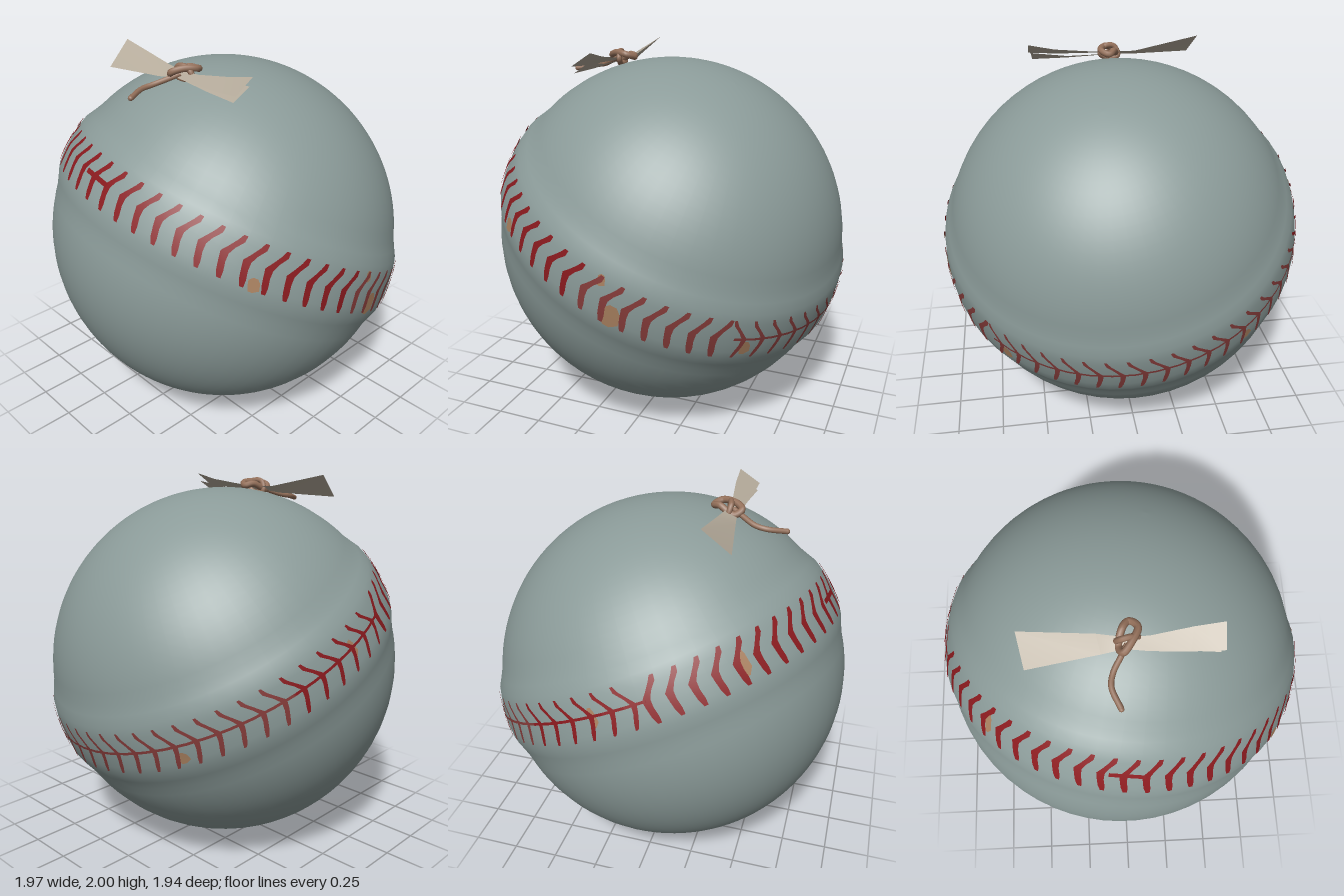
import * as THREE from 'three';
import { mergeGeometries } from 'three/addons/utils/BufferGeometryUtils.js';

const R = 0.965;          // ball radius
const SEAM = 0.14;        // latitude of the seam about the tilted axis
const smooth = THREE.MathUtils.smoothstep;

// Radius at a latitude: a sphere with a low raised ridge under the seam
const radiusAt = lat => R + 0.024 * (1 - smooth(Math.abs(lat - SEAM), 0.12, 0.25));

// Point on the ball at angle t round the seam and offset s across it
function seamPoint(t, s, lift) {
  const lat = SEAM + s, r = radiusAt(lat) + lift;
  return [r * Math.cos(lat) * Math.sin(t), r * Math.sin(lat), r * Math.cos(lat) * Math.cos(t)];
}

// Thin strip following [t, s, halfWidth] points from top to bottom
function stroke(path, lift) {
  const pos = [], idx = [];
  path.forEach(([t, s, w], i) => {
    pos.push(...seamPoint(t - w, s, lift), ...seamPoint(t + w, s, lift));
    if (i) {
      const a = 2 * i - 2;
      idx.push(a, a + 2, a + 3, a, a + 3, a + 1);
    }
  });
  const g = new THREE.BufferGeometry();
  g.setAttribute('position', new THREE.Float32BufferAttribute(pos, 3));
  g.setIndex(idx);
  g.computeVertexNormals();
  return g;
}

// Flat blade from two edge lines of matching points
function blade(edgeA, edgeB) {
  const pos = [], idx = [];
  edgeA.forEach((p, i) => {
    pos.push(...p, ...edgeB[i]);
    if (i) {
      const a = 2 * i - 2;
      idx.push(a, a + 1, a + 3, a, a + 3, a + 2);
    }
  });
  const g = new THREE.BufferGeometry();
  g.setAttribute('position', new THREE.Float32BufferAttribute(pos, 3));
  g.setIndex(idx);
  g.computeVertexNormals();
  return g;
}

function material(name, color, side = THREE.FrontSide) {
  const m = new THREE.MeshStandardMaterial({ color, side });
  m.name = name;
  return m;
}

export function createModel() {
  const leather = material('grey leather', 0x8b9b99);
  const red = material('red thread', 0x8a1a1e, THREE.DoubleSide);
  const dusty = material('faded red thread', 0x863c3a, THREE.DoubleSide);
  const tan = material('tan scuff', 0xa8805f, THREE.DoubleSide);
  const paper = material('ribbon cloth', 0xb5ab9b, THREE.DoubleSide);
  const cord = material('brown cord', 0x94705a);

  const model = new THREE.Group();
  const add = (parent, name, geometry, mat) => {
    const mesh = new THREE.Mesh(geometry, mat);
    mesh.name = name;
    parent.add(mesh);
    return mesh;
  };

  // Ball, turned about the axis of its tilted seam
  const ball = new THREE.Group();
  ball.name = 'ball';
  ball.position.y = R;
  ball.quaternion.setFromUnitVectors(new THREE.Vector3(0, 1, 0), new THREE.Vector3(0.1675, 1, -0.465).normalize());
  model.add(ball);
  const profile = [];
  for (let i = 0; i <= 56; i++) {
    const lat = -Math.PI / 2 + Math.PI * i / 56, r = radiusAt(lat);
    profile.push(new THREE.Vector2(Math.max(0, r * Math.cos(lat)), r * Math.sin(lat)));
  }
  add(ball, 'leatherCover', new THREE.LatheGeometry(profile, 56), leather);

  // Chevron stitches: they point one way round the front, the other way round the back
  const bright = [], faded = [];
  const count = 56;
  for (let i = 0; i < count; i++) {
    const t = -Math.PI + (i + 0.5) * 2 * Math.PI / count;
    const back = t > 2.3 || t < -1.3;
    const dir = back ? -1 : 1;
    const w = back ? 0.012 : 0.017;
    const path = [[0.04, 0.115, 0.6], [0.03, 0.085, 1], [0.0, 0.045, 0.9], [-0.022, 0.01, 1.2],
      [-0.018, -0.03, 1], [-0.008, -0.075, 1], [0.0, -0.11, 0.6]]
      .map(([dt, s, k]) => [t + dir * dt * (back ? 1.3 : 1), s, w * k]);
    const list = t > 1.5 || t < -2 ? faded : bright;
    list.push(stroke(path, 0.006));
    // Thread joining the chevrons along the back
    if (back) {
      list.push(stroke([[t + 0.03, 0.014, 0.058], [t + 0.03, 0.0, 0.058]], 0.006));
    }
  }
  // Cross thread where the chevrons meet at the front
  bright.push(stroke([[-0.06, 0.02, 0.09], [-0.06, -0.005, 0.09]], 0.007));
  add(ball, 'stitches', mergeGeometries(bright), red);
  add(ball, 'fadedStitches', mergeGeometries(faded), dusty);

  // Scuffs beside the seam
  const scuffs = [[-0.83, 0, 0.022, 0.07], [0.89, -0.085, 0.03, 0.035], [1.55, 0.09, 0.02, 0.03],
    [1.66, -0.06, 0.045, 0.06], [2.35, -0.05, 0.03, 0.04], [-1.6, 0, 0.02, 0.05], [-2.6, -0.06, 0.03, 0.03]]
    .map(([t, s, w, h]) => stroke([[t, s + h, w * 0.4], [t, s + h / 2, w], [t + 0.01, s - h / 2, w], [t, s - h, w * 0.4]], 0.004));
  add(ball, 'scuffs', mergeGeometries(scuffs), tan);

  // Ribbon bow on top
  const bow = new THREE.Group();
  bow.name = 'bow';
  model.add(bow);
  add(bow, 'ribbonRight', blade(
    [[-0.47, 2.0, 0.26], [-0.12, 1.93, 0.26], [0.01, 1.925, 0.28]],
    [[-0.445, 1.88, 0.4], [-0.1, 1.89, 0.345], [0.01, 1.905, 0.33]]), paper);
  add(bow, 'ribbonLeft', blade(
    [[0.01, 1.925, 0.28], [0.12, 1.93, 0.28], [0.32, 1.955, 0.255], [0.46, 1.985, 0.25]],
    [[0.01, 1.905, 0.33], [0.12, 1.905, 0.345], [0.3, 1.905, 0.355], [0.46, 1.915, 0.36]]), paper);
  add(bow, 'ribbonLeftFold', blade(
    [[0.01, 1.91, 0.29], [0.25, 1.91, 0.28], [0.45, 1.94, 0.26]],
    [[0.01, 1.9, 0.32], [0.25, 1.885, 0.34], [0.44, 1.88, 0.355]]), paper);

  // Knotted cord
  const tube = (name, points, r, closed = false) => add(bow, name, new THREE.TubeGeometry(
    new THREE.CatmullRomCurve3(points.map(p => new THREE.Vector3(...p)), closed), 40, r, 8, closed), cord);
  tube('knotLoop', [[0.03, 1.93, 0.205], [0.07, 1.945, 0.24], [0.04, 1.95, 0.31], [0.0, 1.93, 0.355],
    [-0.02, 1.905, 0.32], [0.0, 1.94, 0.24]], 0.018, true);
  tube('knotWrap', [[-0.03, 1.9, 0.29], [-0.01, 1.95, 0.3], [0.04, 1.955, 0.29], [0.07, 1.92, 0.28], [0.03, 1.89, 0.29]], 0.015, true);
  tube('cordTail', [[0.02, 1.92, 0.31], [-0.01, 1.9, 0.36], [-0.05, 1.875, 0.43], [-0.06, 1.865, 0.49], [-0.02, 1.848, 0.59]], 0.014);
  const tip = add(bow, 'cordTip', new THREE.SphereGeometry(0.014, 8, 6), cord);
  tip.position.set(-0.02, 1.848, 0.59);

  return model;
}
